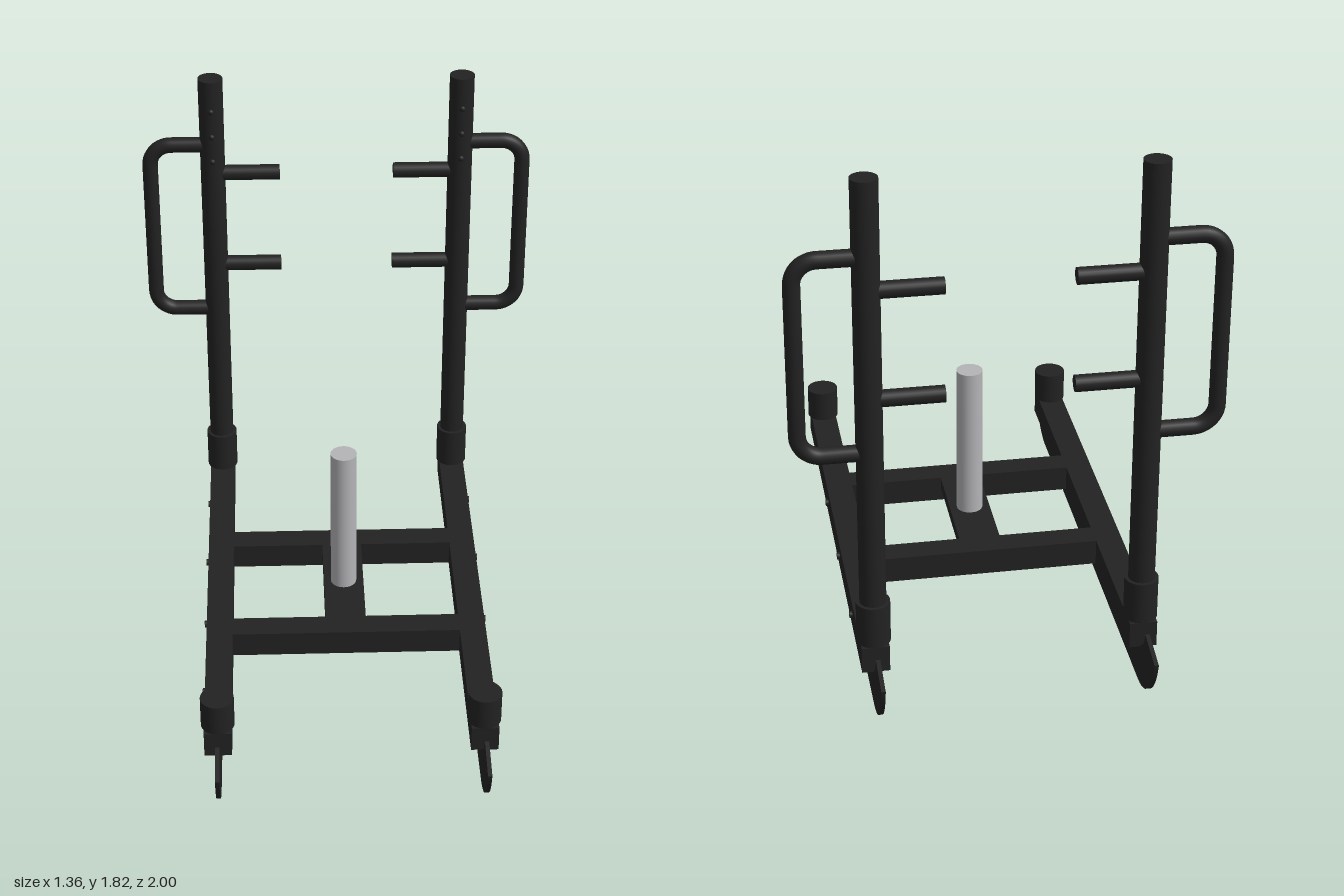
import * as THREE from 'three';

export function createModel() {
  const group = new THREE.Group();
  const black = new THREE.MeshStandardMaterial({ color: 0x222222 });
  black.name = 'black frame';
  const steel = new THREE.MeshStandardMaterial({ color: 0xb4b4b8 });
  steel.name = 'bare steel';

  const RAIL_X = 0.435, POST_Z = 0.762;

  function add(name, geometry, x, y, z, material = black, parent = group) {
    const mesh = new THREE.Mesh(geometry, material);
    mesh.name = name;
    mesh.position.set(x, y, z);
    parent.add(mesh);
    return mesh;
  }
  const box = (w, h, d) => new THREE.BoxGeometry(w, h, d);
  // upright cylinder standing on bottom, reaching top
  const column = (name, r, bottom, top, x, z, material, parent) =>
    add(name, new THREE.CylinderGeometry(r, r, top - bottom, 32), x, (top + bottom) / 2, z, material, parent);
  // cylinder lying along x
  const bar = (r, length) => new THREE.CylinderGeometry(r, r, length, 24).rotateZ(Math.PI / 2);

  // runner blade profile, horizontal axis = z
  const blade = new THREE.Shape();
  blade.moveTo(-0.8, 0);
  blade.lineTo(0.8, 0);
  blade.bezierCurveTo(0.9, 0.005, 0.975, 0.08, 1, 0.19);
  blade.lineTo(0.87, 0.222);
  blade.quadraticCurveTo(0.855, 0.16, 0.8, 0.14);
  blade.lineTo(-0.8, 0.14);
  blade.quadraticCurveTo(-0.855, 0.16, -0.87, 0.222);
  blade.lineTo(-1, 0.19);
  blade.bezierCurveTo(-0.975, 0.08, -0.9, 0.005, -0.8, 0);
  const bladeGeometry = new THREE.ExtrudeGeometry(blade, { depth: 0.014, bevelEnabled: false, curveSegments: 14 })
    .translate(0, 0, -0.007).rotateY(-Math.PI / 2);

  // path of the bent grab handle, out from the upright and back
  function handlePath(side) {
    const v = (x, y) => new THREE.Vector3(side * x, y, 0);
    const path = new THREE.CurvePath();
    const inX = RAIL_X, outX = 0.655, low = 0.912, high = 1.568, r = 0.075;
    path.add(new THREE.LineCurve3(v(inX, high), v(outX - r, high)));
    path.add(new THREE.CubicBezierCurve3(v(outX - r, high), v(outX - r * 0.45, high), v(outX, high - r * 0.45), v(outX, high - r)));
    path.add(new THREE.LineCurve3(v(outX, high - r), v(outX, low + r)));
    path.add(new THREE.CubicBezierCurve3(v(outX, low + r), v(outX, low + r * 0.45), v(outX - r * 0.45, low), v(outX - r, low)));
    path.add(new THREE.LineCurve3(v(outX - r, low), v(inX, low)));
    return path;
  }

  for (const side of [1, -1]) {
    const half = new THREE.Group();
    half.name = side > 0 ? 'leftSide' : 'rightSide';
    group.add(half);
    const x = side * RAIL_X;

    add('runnerBlade', bladeGeometry, x, 0, 0, black, half);
    add('sideRail', box(0.09, 0.09, 1.63), x, 0.185, 0, black, half);
    for (const z of [-0.545, -0.18, 0.18, 0.545])
      add('railBolt', bar(0.012, 0.02), side * 0.479, 0.185, z, black, half);

    // sockets and upright
    column('frontSocket', 0.055, 0.23, 0.34, x, POST_Z, black, half);
    column('backSocket', 0.055, 0.23, 0.375, x, -POST_Z, black, half);
    column('upright', 0.043, 0.23, 1.82, x, -POST_Z, black, half);
    for (const y of [1.52, 1.615, 1.71])
      add('uprightPin', new THREE.SphereGeometry(0.011, 12, 8), x, y, -POST_Z + 0.04, black, half);

    // grips
    add('grabHandle', new THREE.TubeGeometry(handlePath(side), 90, 0.027, 16), 0, 0, -POST_Z, black, half);
    for (const y of [1.095, 1.458])
      add('innerPeg', bar(0.027, 0.235), side * 0.3175, y, -POST_Z, black, half);
  }

  // cross frame and weight post
  for (const z of [-0.255, 0.255])
    add('crossBeam', box(0.79, 0.09, 0.09), 0, 0.185, z);
  add('centrePlate', box(0.14, 0.04, 0.42), 0, 0.21, 0);
  column('weightPost', 0.045, 0.23, 0.768, 0, 0, steel);

  return group;
}
